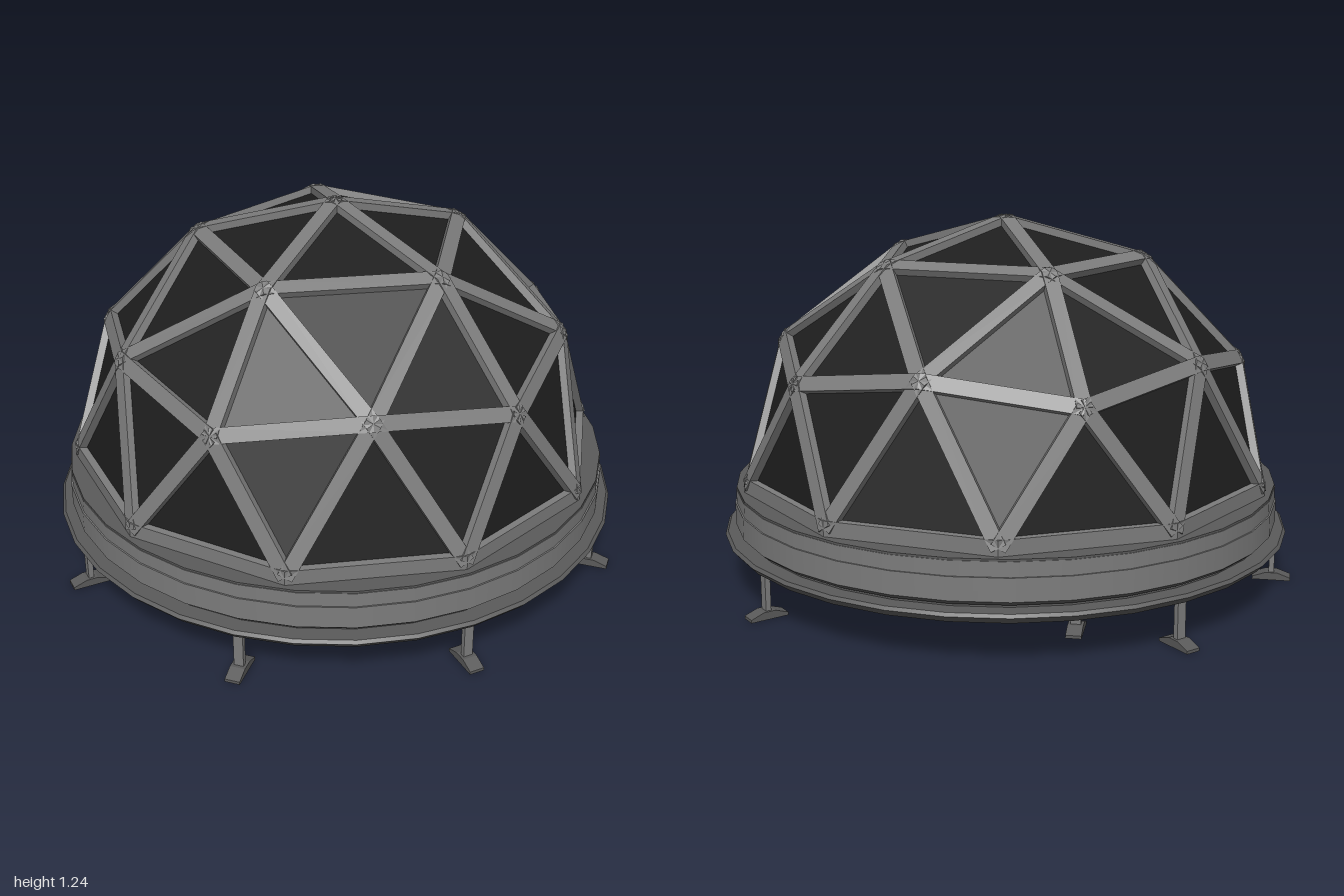
import * as THREE from 'three';

const mat = (name, color, side = THREE.FrontSide) => {
  const m = new THREE.MeshStandardMaterial({ color, side });
  m.name = name;
  return m;
};

export function createModel() {
  const frameGrey = mat('frame grey', 0x7c7c7c);
  const plateGrey = mat('plate grey', 0x5a5a5a);
  const floorGrey = mat('floor grey', 0x8a8a8a);
  const darkGlass = mat('dark glass', 0x1e1e1e, THREE.DoubleSide);
  const model = new THREE.Group();
  const add = (parent, name, geometry, material, x = 0, y = 0, z = 0) => {
    const mesh = new THREE.Mesh(geometry, material);
    mesh.name = name;
    mesh.position.set(x, y, z);
    parent.add(mesh);
    return mesh;
  };

  // Geodesic dome nodes: apex and three rings, slightly squashed in height
  const R = 0.91, H = 0.875, baseY = 0.36;
  const node = (polarDeg, azDeg) => {
    const p = THREE.MathUtils.degToRad(polarDeg), a = THREE.MathUtils.degToRad(azDeg);
    return new THREE.Vector3(R * Math.sin(p) * Math.cos(a), H * Math.cos(p), R * Math.sin(p) * Math.sin(a));
  };
  const nodes = [node(0, 0)];
  for (let k = 0; k < 5; k++) nodes.push(node(31.72, 72 * k));
  for (let j = 0; j < 10; j++) nodes.push(node(j % 2 ? 58.28 : 63.43, 36 * j));
  for (let j = 0; j < 10; j++) nodes.push(node(90, 18 + 36 * j));
  const upper = (k) => 1 + (k % 5), middle = (j) => 6 + (j % 10), lower = (j) => 16 + (j % 10);

  const faces = [];
  for (let k = 0; k < 5; k++) {
    faces.push([0, upper(k), upper(k + 1)]);
    faces.push([upper(k), middle(2 * k), middle(2 * k + 1)]);
    faces.push([upper(k), middle(2 * k + 1), upper(k + 1)]);
    faces.push([upper(k + 1), middle(2 * k + 1), middle(2 * k + 2)]);
  }
  for (let j = 0; j < 10; j++) {
    faces.push([middle(j), lower(j), middle(j + 1)]);
    faces.push([middle(j + 1), lower(j), lower(j + 1)]);
  }

  const dome = new THREE.Group();
  dome.name = 'dome';
  dome.position.y = baseY;
  model.add(dome);

  // Recessed glass panels, wound to face outward
  const glass = [];
  const edges = new Map();
  for (const f of faces) {
    let [a, b, c] = f.map((i) => nodes[i]);
    const normal = b.clone().sub(a).cross(c.clone().sub(a));
    if (normal.dot(a) < 0) [b, c] = [c, b];
    for (const p of [a, b, c]) glass.push(...p.clone().multiplyScalar(0.976).toArray());
    for (let i = 0; i < 3; i++) {
      const e = [f[i], f[(i + 1) % 3]].sort((m, n) => m - n);
      edges.set(e.join('-'), e);
    }
  }
  const glassGeometry = new THREE.BufferGeometry();
  glassGeometry.setAttribute('position', new THREE.Float32BufferAttribute(glass, 3));
  glassGeometry.computeVertexNormals();
  add(dome, 'glassPanels', glassGeometry, darkGlass);

  // Struts along every edge, their outer faces turned away from the centre
  for (const [i, j] of edges.values()) {
    const a = nodes[i], b = nodes[j];
    const along = b.clone().sub(a);
    const length = along.length();
    along.normalize();
    const mid = a.clone().add(b).multiplyScalar(0.5);
    const out = mid.clone().addScaledVector(along, -mid.dot(along)).normalize();
    const across = new THREE.Vector3().crossVectors(along, out);
    const strut = add(dome, 'strut', new THREE.BoxGeometry(0.05, length, 0.05), frameGrey);
    strut.quaternion.setFromRotationMatrix(new THREE.Matrix4().makeBasis(across, along, out));
    strut.position.copy(mid).addScaledVector(out, -0.025);
  }

  // Round base: drum, groove, flared plate and floor
  const disc = (name, top, bottom, y0, y1, material) =>
    add(model, name, new THREE.CylinderGeometry(top, bottom, y1 - y0, 32), material, 0, (y0 + y1) / 2, 0);
  disc('drumCap', 0.93, 0.93, 0.328, 0.335, plateGrey);
  disc('drumTop', 0.932, 0.932, 0.28, 0.328, frameGrey);
  disc('drumBottom', 0.937, 0.937, 0.205, 0.28, frameGrey);
  disc('drumChamfer', 0.937, 0.92, 0.19, 0.205, plateGrey);
  disc('groove', 0.91, 0.91, 0.175, 0.195, plateGrey);
  disc('plateTop', 0.965, 0.974, 0.17, 0.18, plateGrey);
  disc('plateRim', 0.974, 0.955, 0.148, 0.17, plateGrey);
  disc('floor', 0.88, 0.88, 0.14, 0.16, floorGrey);

  // Legs with sloped feet, each turned along its own direction
  const footShape = new THREE.Shape();
  [[-0.065, 0], [0.065, 0], [0.065, 0.01], [0.02, 0.026], [-0.02, 0.026], [-0.065, 0.01]]
    .forEach(([x, y], i) => (i ? footShape.lineTo(x, y) : footShape.moveTo(x, y)));
  const footGeometry = new THREE.ExtrudeGeometry(footShape, { depth: 0.05, bevelEnabled: false });
  footGeometry.translate(0, 0, -0.025);
  const postGeometry = new THREE.BoxGeometry(0.018, 0.13, 0.032);
  for (let i = 0; i < 8; i++) {
    const a = (i * Math.PI) / 4;
    const leg = new THREE.Group();
    leg.name = 'leg';
    // the back left leg stands further in than the others
    leg.position.set(i === 7 ? 0.187 : 0.932 * Math.cos(a), 0, 0.932 * Math.sin(a));
    leg.rotation.y = -a;
    add(leg, 'foot', footGeometry, plateGrey);
    add(leg, 'post', postGeometry, frameGrey, 0, 0.085, 0);
    model.add(leg);
  }
  return model;
}
